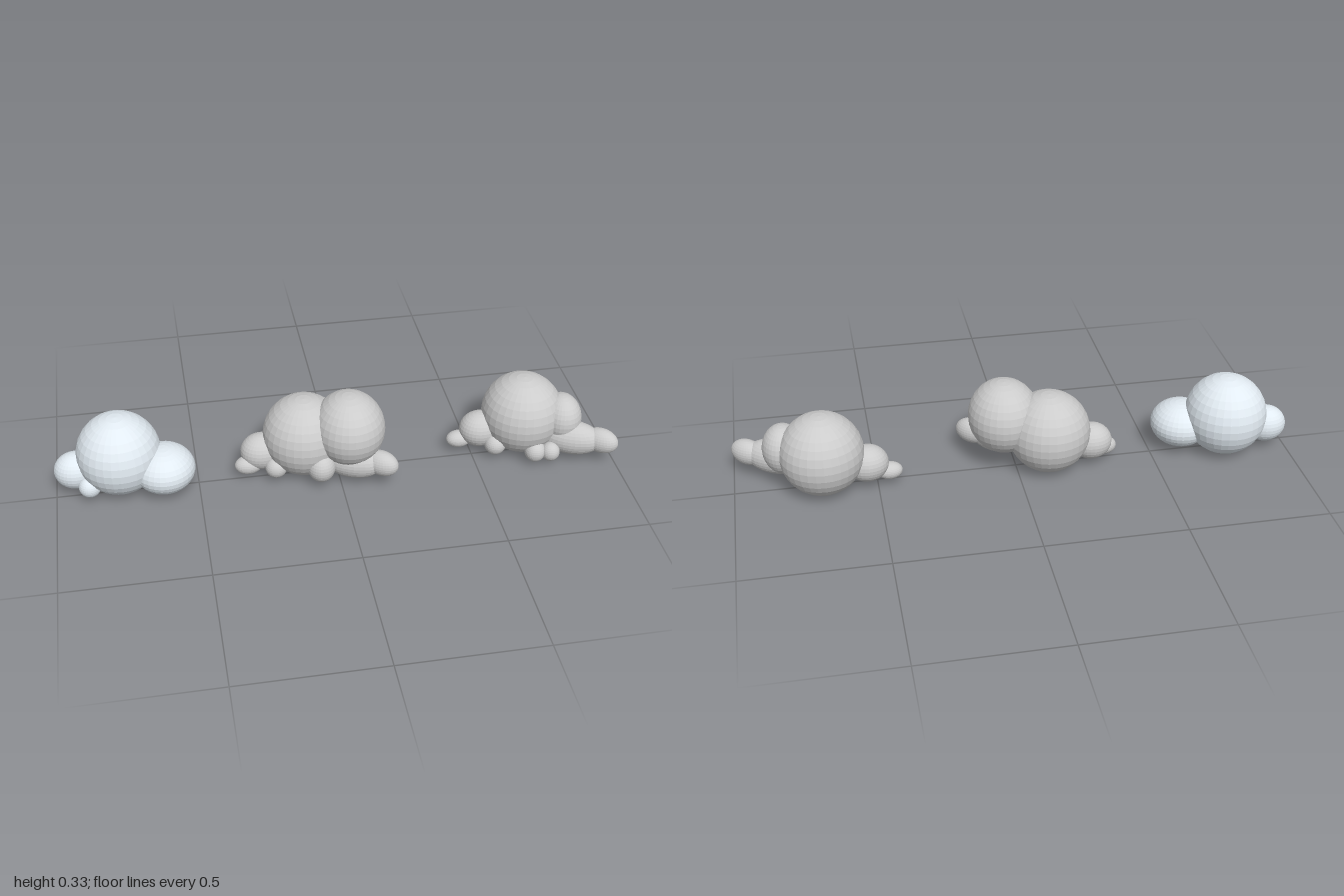
import * as THREE from 'three';

const grey = new THREE.MeshStandardMaterial({ color: 0xcccccc, flatShading: true });
const pale = new THREE.MeshStandardMaterial({ color: 0xe2ebf2, flatShading: true });
const ball = new THREE.SphereGeometry(1, 32, 16);

// Ellipsoid: centre, half sizes, and a turn in degrees that swings its +x end towards the front
function blob(parent, name, material, centre, size, turn = 0) {
  const mesh = new THREE.Mesh(ball, material);
  mesh.name = name;
  mesh.position.set(...centre);
  mesh.scale.set(...size);
  mesh.rotation.y = -THREE.MathUtils.degToRad(turn);
  parent.add(mesh);
}

// Round body with a tail ball and a small rear foot, shared by all three figures
function figure(name, material, x) {
  const g = new THREE.Group();
  g.name = name;
  g.position.x = x;
  blob(g, 'body', material, [0, 0.149, -0.026], [0.148, 0.149, 0.148]);
  blob(g, 'tail', material, [-0.155, 0.092, -0.028], [0.075, 0.067, 0.066]);
  blob(g, 'rearFoot', material, [-0.11, 0.057, 0.032], [0.039, 0.039, 0.039]);
  return g;
}

// Long arm ending in a tapered hand
function arm(g, x, y, z) {
  blob(g, 'arm', grey, [x, y, z], [0.11, 0.064, 0.058], 25);
  blob(g, 'hand', grey, [x + 0.097, 0.092, z + 0.042], [0.065, 0.047, 0.041], 38);
}

export function createModel() {
  const model = new THREE.Group();

  // Pale figure with one large head
  const first = figure('paleFigure', pale, -0.77);
  blob(first, 'head', pale, [0.152, 0.1, 0.024], [0.109, 0.083, 0.111]);

  // Middle figure with a high round shoulder
  const second = figure('middleFigure', grey, -0.115);
  blob(second, 'tailTip', grey, [-0.205, 0.052, -0.005], [0.049, 0.034, 0.035]);
  blob(second, 'shoulder', grey, [0.152, 0.198, 0.03], [0.128, 0.134, 0.137]);
  blob(second, 'frontFoot', grey, [0.044, 0.08, 0.085], [0.05, 0.057, 0.055]);
  arm(second, 0.156, 0.086, 0.076);

  // Last figure with a small head and two front feet
  const third = figure('lastFigure', grey, 0.688);
  blob(third, 'tailTip', grey, [-0.231, 0.053, -0.03], [0.046, 0.031, 0.034]);
  blob(third, 'head', grey, [0.13, 0.15, 0.03], [0.073, 0.09, 0.085]);
  for (const [x, z, r] of [[0.023, 0.093, 0.038], [0.077, 0.104, 0.034]]) {
    blob(third, 'frontFoot', grey, [x, 0.053, z], [r, r + 0.002, r]);
  }
  arm(third, 0.159, 0.089, 0.08);

  model.add(first, second, third);
  return model;
}
